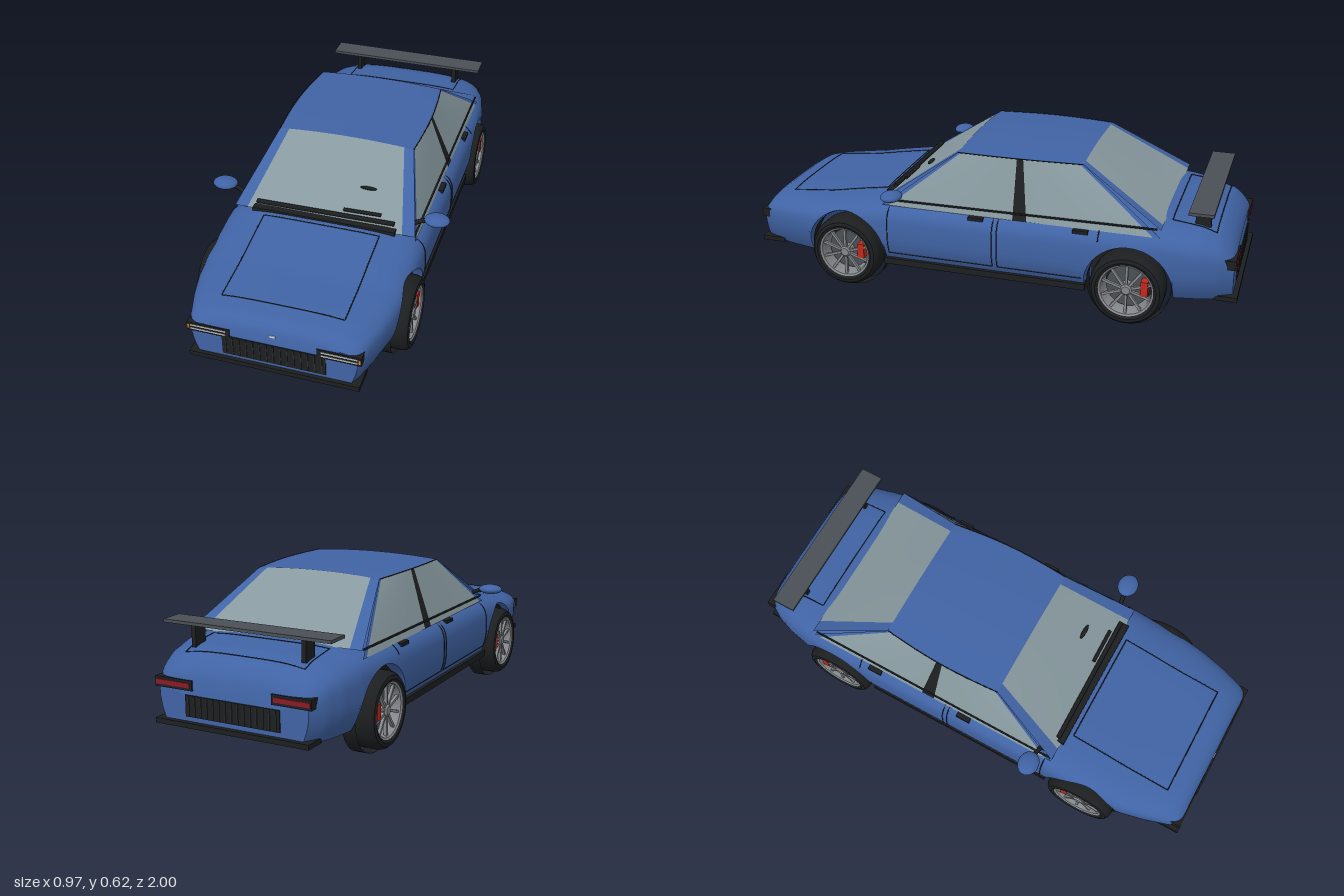
import * as THREE from 'three';
import { toCreasedNormals } from 'three/addons/utils/BufferGeometryUtils.js';

const mat = (color, side = THREE.FrontSide) => new THREE.MeshStandardMaterial({ color, side });
const BLUE = mat(0x4063a4), BLUE2 = mat(0x4063a4, THREE.DoubleSide), BLACK = mat(0x1c1e20), BLACK2 = mat(0x1c1e20, THREE.DoubleSide);
const GLASS = mat(0x87999f, THREE.DoubleSide), GREY = mat(0x4a5056), RIM = mat(0x85888c, THREE.DoubleSide), RIB = mat(0x2a2d30);
const RED = mat(0xc0281c), DARKRED = mat(0x8a1a24), ORANGE = mat(0xe08a1a), LAMP = mat(0xdfe6e6);
const ARCH_R = 0.171, AXLE_Y = 0.165, AXLES = [0.577, -0.59], FLOOR = 0.13, MID = 0.25;

// Body rules along z: top height, half width, squareness
const TOP = [[0.985, 0.29], [0.97, 0.315], [0.94, 0.333], [0.88, 0.345], [0.7, 0.359], [0.58, 0.381], [0.42, 0.406], [0.2, 0.411],
  [-0.72, 0.416], [-0.85, 0.405], [-0.92, 0.385], [-0.96, 0.35], [-0.98, 0.31]];
const WIDE = [[0.985, 0.315], [0.95, 0.334], [0.85, 0.365], [0.75, 0.388], [0.65, 0.4], [0.4, 0.405], [-0.6, 0.405],
  [-0.75, 0.392], [-0.85, 0.372], [-0.92, 0.347], [-0.98, 0.31]];
const SQUARE = [[0.985, 3], [0.45, 4.4], [-0.7, 4.4], [-0.98, 3]];
function at(table, z) {
  if (z >= table[0][0]) return table[0][1];
  for (let i = 1; i < table.length; i++) {
    const [z0, v0] = table[i - 1], [z1, v1] = table[i];
    if (z >= z1) return v0 + (v1 - v0) * (z0 - z) / (z0 - z1);
  }
  return table[table.length - 1][1];
}
const sideX = (y, z) => {
  const w = at(WIDE, z), n = at(SQUARE, z);
  if (y < MID) return w * (1 - 0.1 * ((MID - y) / 0.12) ** 2);
  return w * Math.max(0, 1 - ((y - MID) / (at(TOP, z) - MID)) ** n) ** (1 / n);
};
const topY = (x, z) => {
  const n = at(SQUARE, z);
  return MID + (at(TOP, z) - MID) * Math.max(0, 1 - (Math.abs(x) / at(WIDE, z)) ** n) ** (1 / n);
};

function add(parent, name, geo, material, x = 0, y = 0, z = 0) {
  const m = new THREE.Mesh(geo, material);
  m.name = name;
  m.position.set(x, y, z);
  parent.add(m);
  return m;
}
// Box given by its limits
const box = (p, name, material, x0, x1, y0, y1, z0, z1) =>
  add(p, name, new THREE.BoxGeometry(x1 - x0, y1 - y0, Math.abs(z1 - z0)), material, (x0 + x1) / 2, (y0 + y1) / 2, (z0 + z1) / 2);
// Black strip along a few points
const strip = (p, name, pts, r = 0.002) =>
  add(p, name, new THREE.TubeGeometry(new THREE.CatmullRomCurve3(pts.map(q => new THREE.Vector3(...q))), pts.length * 3, r, 6), BLACK2);

function meshFrom(pos, index) {
  const g = new THREE.BufferGeometry();
  g.setAttribute('position', new THREE.Float32BufferAttribute(pos, 3));
  g.setIndex(index);
  return g;
}

// Body loft; the underside rises over the wheel arches
function bodyGeometry() {
  const stations = [];
  const run = (z0, z1, n) => { for (let i = 0; i <= n; i++) stations.push([z0 + (z1 - z0) * i / n, FLOOR]); };
  const arch = c => {
    for (let i = 0; i <= 20; i++) {
      const a = Math.PI * i / 20;
      stations.push([c + ARCH_R * Math.cos(a), AXLE_Y + ARCH_R * Math.sin(a)]);
    }
  };
  run(0.985, AXLES[0] + ARCH_R, 16);
  arch(AXLES[0]);
  run(AXLES[0] - ARCH_R, AXLES[1] + ARCH_R, 12);
  arch(AXLES[1]);
  run(AXLES[1] - ARCH_R, -0.98, 16);

  const pos = [], index = [];
  let N = 0;
  for (const [z, b] of stations) {
    const t = at(TOP, z), w = at(WIDE, z), n = at(SQUARE, z), half = [[0, b]];
    for (let i = 0; i < 5; i++) {
      const y = b + Math.max(0, MID - b) * i / 5;
      half.push([sideX(y, z), y]);
    }
    const a0 = b > MID ? Math.asin(((b - MID) / (t - MID)) ** (n / 2)) : 0;
    for (let i = 0; i <= 14; i++) {
      const a = a0 + (Math.PI / 2 - a0) * i / 14;
      half.push([w * Math.max(0, Math.cos(a)) ** (2 / n), MID + (t - MID) * Math.sin(a) ** (2 / n)]);
    }
    const ring = [...half, ...half.slice(1, -1).reverse().map(([x, y]) => [-x, y])];
    N = ring.length;
    for (const [x, y] of ring) pos.push(x, y, z);
  }
  const last = (stations.length - 1) * N;
  for (let i = 0; i < last; i += N) for (let j = 0; j < N; j++) {
    const k = (j + 1) % N;
    index.push(i + j, i + N + j, i + k, i + k, i + N + j, i + N + k);
  }
  for (let j = 1; j < N - 1; j++) index.push(0, j, j + 1, last, last + j + 1, last + j);
  return toCreasedNormals(meshFrom(pos, index), 0.6);
}

// Surface over a u,v grid
function patch(p, name, material, f, u0 = 0, u1 = 1, nu = 12, nv = 6) {
  const pos = [], index = [];
  for (let i = 0; i <= nu; i++) for (let j = 0; j <= nv; j++) pos.push(...f(u0 + (u1 - u0) * i / nu, j / nv));
  for (let i = 0; i < nu; i++) for (let j = 0; j < nv; j++) {
    const a = i * (nv + 1) + j, d = a + nv + 1;
    index.push(a, d, a + 1, a + 1, d, d + 1);
  }
  const g = meshFrom(pos, index);
  g.computeVertexNormals();
  return add(p, name, g, material);
}

function buildCabin(car) {
  const cabin = new THREE.Group();
  cabin.name = 'cabin';
  car.add(cabin);
  const mix = THREE.MathUtils.lerp, F = 0.125, R = -0.38;
  const roofHalf = v => mix(0.28, 0.268, v) + 0.015 * Math.sin(Math.PI * v);
  const roof = (u, v) => {
    const s = 2 * u - 1;
    return [s * roofHalf(v), 0.6 + 0.012 * (1 - s * s) + 0.003 * Math.sin(Math.PI * v), mix(F, R, v)];
  };
  patch(cabin, 'roof', BLUE2, roof);
  // Screens run from the belt to the roof edge, with a pillar at either side
  const screen = (end, y, z) => (u, v) => roof(u, end).map((q, i) => mix([(2 * u - 1) * 0.368, y, z][i], q, v));
  for (const [name, f] of [['windscreen', screen(0, 0.4, 0.42)], ['rearWindow', screen(1, 0.41, -0.705)]]) {
    patch(cabin, name, GLASS, f, 0.07, 0.93);
    patch(cabin, name + 'Pillar', BLUE2, f, 0, 0.07, 2);
    patch(cabin, name + 'Pillar', BLUE2, f, 0.93, 1, 2);
  }
  for (const s of [1, -1]) {
    const side = (u, v) => roof(s > 0 ? 1 : 0, u).map((q, i) => mix([s * 0.37, 0.378, mix(0.42, -0.705, u)][i], q, v));
    [[0, 0.025, BLUE2, 'sidePillar'], [0.025, 0.485, GLASS, 'frontSideWindow'], [0.485, 0.535, BLACK2, 'centrePillar'],
      [0.535, 0.975, GLASS, 'rearSideWindow'], [0.975, 1, BLUE2, 'sidePillar']].forEach(([a, b, m, n]) => patch(cabin, n, m, side, a, b, 8));
    const edge = [], belt = [];
    for (let i = 0; i <= 8; i++) { edge.push(roof(s > 0 ? 1 : 0, i / 8)); belt.push([s * 0.364, mix(0.4, 0.41, i / 8), mix(0.41, -0.69, i / 8)]); }
    strip(cabin, 'roofTrim', edge);
    strip(cabin, 'beltTrim', belt, 0.004);
  }
  // Wipers and cowl
  box(cabin, 'cowl', BLACK, -0.29, 0.29, 0.395, 0.412, 0.40, 0.432);
  strip(cabin, 'wiper', [[-0.28, 0.425, 0.402], [0, 0.427, 0.40], [0.28, 0.428, 0.398]], 0.009);
  strip(cabin, 'wiper', [[0.07, 0.44, 0.378], [0.22, 0.442, 0.376]], 0.007);
  add(cabin, 'windscreenSensor', new THREE.SphereGeometry(1, 16, 8), BLACK, 0.145, 0.498, 0.292).scale.set(0.034, 0.006, 0.009);
}

// Wheel with its outer face towards +x
function buildWheel() {
  const wheel = new THREE.Group();
  wheel.name = 'wheel';
  const lathe = (name, pts, m) => {
    const g = new THREE.LatheGeometry(pts.map(q => new THREE.Vector2(...q)), 40);
    return add(wheel, name, toCreasedNormals(g.rotateZ(-Math.PI / 2), 0.6), m);
  };
  lathe('tyre', [[0.104, -0.054], [0.118, -0.06], [0.132, -0.057], [0.142, -0.045], [0.146, -0.03], [0.146, 0.03], [0.142, 0.045],
    [0.132, 0.057], [0.118, 0.06], [0.104, 0.052]], BLACK2);
  lathe('rimBarrel', [[0.106, -0.056], [0.096, -0.05], [0.094, 0.03], [0.1, 0.05], [0.107, 0.054]], RIM);
  lathe('brakeDisc', [[0, -0.01], [0.085, -0.01], [0.085, 0.005], [0, 0.005]], GREY);
  lathe('hub', [[0.024, 0], [0.022, 0.044], [0.016, 0.05], [0, 0.05]], RIM);
  for (let i = 0; i < 10; i++) {
    const spoke = add(wheel, 'spoke', new THREE.BoxGeometry(0.012, 0.082, 0.01).translate(0.038, 0.058, 0), RIM);
    spoke.rotation.x = i * Math.PI / 5;
  }
  box(wheel, 'brakeCaliper', RED, 0.006, 0.046, -0.018, 0.042, -0.083, -0.055);
  const liner = new THREE.CylinderGeometry(AXLE_Y, AXLE_Y, 0.056, 48, 1, true).rotateZ(Math.PI / 2);
  add(wheel, 'archLiner', liner, BLACK2, -0.028, 0, 0);
  return wheel;
}

export function createModel() {
  const car = new THREE.Group();
  car.name = 'car';
  add(car, 'body', bodyGeometry(), BLUE);
  buildCabin(car);
  box(car, 'rearAxleHousing', BLACK, -0.3, 0.3, 0.15, 0.3, -0.54, -0.43);

  // Bonnet and boot lid seams
  for (const [name, half, z0, z1] of [['bonnetSeam', 0.235, 0.45, 0.88], ['bootSeam', 0.25, -0.73, -0.9]]) {
    const line = f => strip(car, name, Array.from({ length: 9 }, (_, i) => f(i / 8)));
    for (const s of [-half, half]) line(k => [s, topY(s, z0 + (z1 - z0) * k), z0 + (z1 - z0) * k]);
    for (const z of [z0, z1]) line(k => [half * (2 * k - 1), topY(half * (2 * k - 1), z), z]);
  }

  // Nose and tail
  box(car, 'frontLip', BLACK, -0.325, 0.325, 0.128, 0.147, 0.9, 1.0);
  box(car, 'rearLip', BLACK, -0.32, 0.32, 0.128, 0.147, -1.0, -0.91);
  box(car, 'grille', BLACK, -0.197, 0.197, 0.16, 0.245, 0.96, 0.988);
  box(car, 'rearVent', BLACK, -0.197, 0.197, 0.165, 0.245, -0.984, -0.96);
  for (let i = -7; i <= 7; i++) {
    box(car, 'grilleRib', RIB, i * 0.026 - 0.002, i * 0.026 + 0.002, 0.163, 0.242, 0.985, 0.991);
    box(car, 'ventRib', RIB, i * 0.026 - 0.002, i * 0.026 + 0.002, 0.168, 0.242, -0.987, -0.98);
  }
  box(car, 'noseBadge', LAMP, -0.011, 0.011, 0.283, 0.291, 0.975, 0.988);

  for (const s of [1, -1]) {
    const half = new THREE.Group();
    half.name = s > 0 ? 'leftSide' : 'rightSide';
    half.scale.x = s;
    car.add(half);
    for (const z of AXLES) {
      const w = buildWheel();
      w.position.set(0.365, AXLE_Y, z);
      half.add(w);
    }
    box(half, 'sillSkirt', BLACK, 0.355, 0.395, 0.13, 0.156, 0.41, -0.425);
    // Lights
    box(half, 'headlightHousing', BLACK, 0.165, 0.33, 0.24, 0.276, 0.93, 0.99);
    for (const y of [0.251, 0.266]) box(half, 'headlight', LAMP, 0.18, 0.316, y - 0.0025, y + 0.0025, 0.985, 0.992);
    box(half, 'indicator', ORANGE, 0.32, 0.327, 0.25, 0.267, 0.975, 0.992);
    box(half, 'tailLightHousing', BLACK, 0.165, 0.325, 0.262, 0.3, -0.986, -0.935);
    box(half, 'tailLight', DARKRED, 0.175, 0.32, 0.272, 0.29, -0.989, -0.955);
    // Door seams and handles
    for (const [z0, z1, zLow] of [[0.39, -0.05, -0.05], [-0.07, -0.47, -0.41]]) {
      const seam = (ya, za, yb, zb) => strip(half, 'doorSeam', Array.from({ length: 9 }, (_, i) => {
        const y = ya + (yb - ya) * i / 8, z = za + (zb - za) * i / 8;
        return [sideX(y, z), y, z];
      }));
      seam(0.385, z0, 0.385, z1);
      seam(0.18, z0, 0.385, z0);
      seam(zLow === z1 ? 0.18 : 0.345, z1, 0.385, z1);
      seam(0.18, z0, 0.18, zLow);
    }
    for (const z of [0.02, -0.4]) box(half, 'doorHandle', BLACK, 0.365, 0.39, 0.364, 0.377, z + 0.03, z - 0.03);
    // Door mirror
    strip(half, 'mirrorStalk', [[0.345, 0.42, 0.36], [0.375, 0.435, 0.355], [0.41, 0.441, 0.35]], 0.009);
    add(half, 'doorMirror', new THREE.SphereGeometry(1, 24, 16), BLUE, 0.435, 0.447, 0.35).scale.set(0.05, 0.02, 0.042);
    box(half, 'spoilerPost', BLACK, 0.222, 0.24, 0.39, 0.477, -0.815, -0.875);
  }
  box(car, 'spoilerWing', GREY, -0.35, 0.35, 0.475, 0.487, -0.8, -0.895);
  return car;
}
